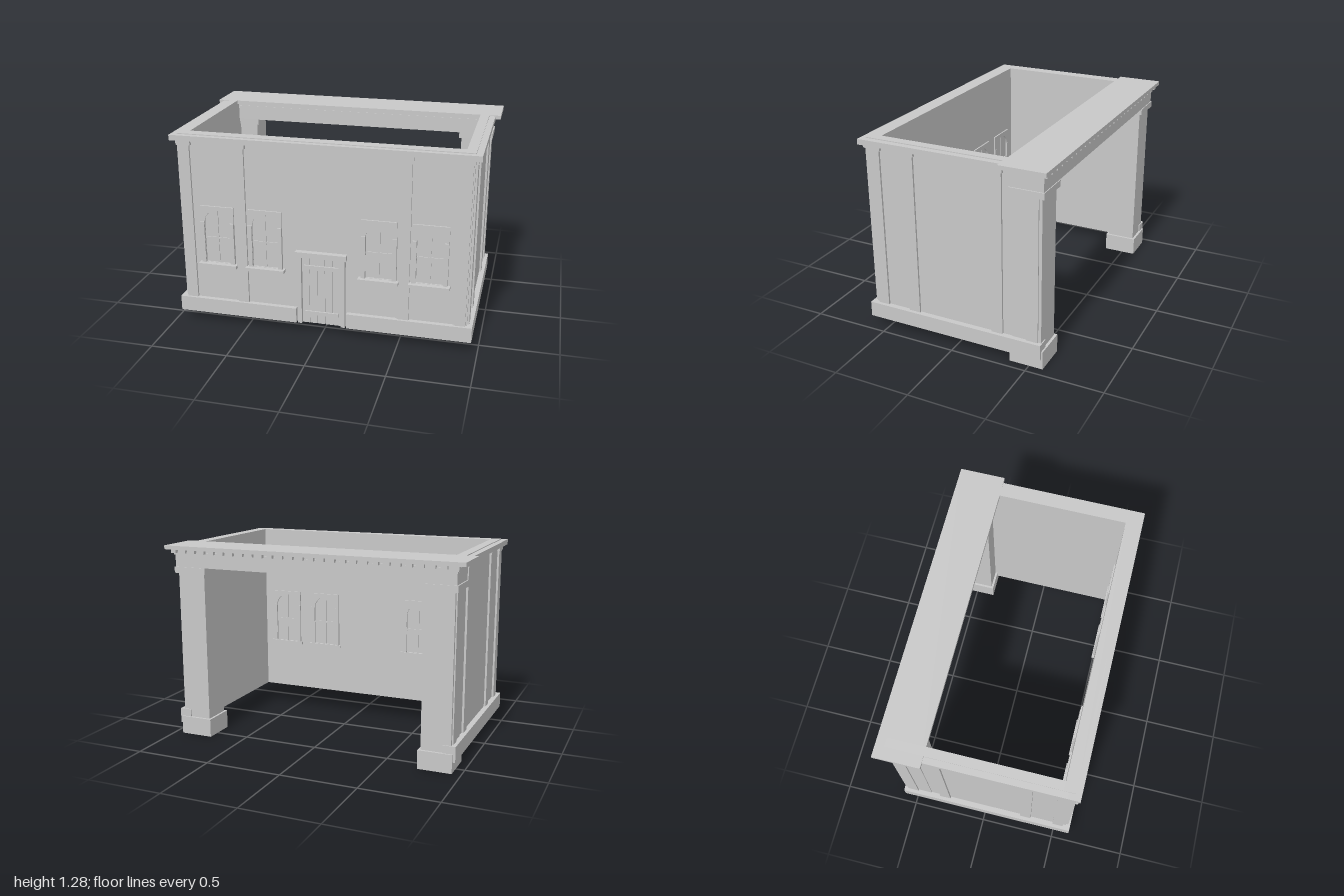
import * as THREE from 'three';

export function createModel() {
  const model = new THREE.Group();
  model.name = 'facadeBuilding';
  const stone = new THREE.MeshStandardMaterial({ color: 0xc8c8c8 });
  stone.name = 'pale grey stone';

  const add = (parent, name, geometry) => {
    const mesh = new THREE.Mesh(geometry, stone);
    mesh.name = name;
    parent.add(mesh);
    return mesh;
  };
  // Box given by its limits on each axis
  const block = (parent, name, [x0, x1], [y0, y1], [z0, z1]) => {
    const mesh = add(parent, name, new THREE.BoxGeometry(x1 - x0, y1 - y0, z1 - z0));
    mesh.position.set((x0 + x1) / 2, (y0 + y1) / 2, (z0 + z1) / 2);
    return mesh;
  };
  const group = (name, parent = model) => {
    const g = new THREE.Group();
    g.name = name;
    parent.add(g);
    return g;
  };
  // Limits mirrored to the chosen side
  const side = (s, a, b) => (s > 0 ? [a, b] : [-b, -a]);

  // Front wall and its cornice
  block(model, 'frontWall', [-0.925, 0.925], [0.07, 1.28], [0.507, 0.58]);
  block(model, 'frontCornice', [-0.965, 0.965], [1.24, 1.275], [0.54, 0.615]);

  for (const s of [1, -1]) {
    const half = group(s > 0 ? 'leftSide' : 'rightSide');

    // Side wall, cornice and plinth
    block(half, 'sideWall', side(s, 0.865, 0.925), [0.07, 1.28], [-0.57, 0.507]);
    block(half, 'sideCornice', side(s, 0.9, 0.965), [1.24, 1.275], [-0.34, 0.54]);
    block(half, 'sidePlinth', side(s, 0.88, 0.96), [0.07, 0.17], [-0.58, 0.54]);
    block(half, 'frontPlinth', side(s, 0.165, 0.96), [0.07, 0.17], [0.54, 0.61]);

    // Front pilasters with caps
    for (const x of [0.88, 0.525]) {
      block(half, 'frontPilaster', side(s, x - 0.036, x + 0.036), [0.17, 1.21], [0.57, 0.595]);
      block(half, 'frontPilasterCap', side(s, x - 0.046, x + 0.046), [1.21, 1.24], [0.57, 0.602]);
    }

    // Side pilasters with caps
    for (const z of [0.523, 0.293, -0.285, -0.517]) {
      block(half, 'sidePilaster', side(s, 0.9, 0.938), [0.17, 1.21], [z - 0.037, z + 0.037]);
      block(half, 'sidePilasterCap', side(s, 0.9, 0.944), [1.21, 1.238], [z - 0.046, z + 0.046]);
    }

    // Rear pier: foot, shaft and capital
    block(half, 'pierFoot', side(s, 0.725, 0.943), [0, 0.12], [-0.59, -0.37]);
    block(half, 'pierShaft', side(s, 0.74, 0.93), [0.12, 1.1], [-0.573, -0.385]);
    block(half, 'pierCapital', side(s, 0.725, 0.95), [1.1, 1.14], [-0.592, -0.37]);

    // Two arched windows, outside and inside
    for (const x of [0.685, 0.367]) {
      for (const [z, face] of [[0.58, 1], [0.507, -1]]) {
        const w = buildWindow(face > 0);
        w.position.set(s * x, 0, z);
        if (face < 0) w.rotation.y = Math.PI;
        half.add(w);
      }
    }
  }

  // Window: plate with arched hole, jambs, sill and glazing bars
  function buildWindow(outside) {
    const w = new THREE.Group();
    w.name = outside ? 'outerWindow' : 'innerWindow';
    const plate = new THREE.Shape();
    plate.moveTo(-0.112, 0.43).lineTo(0.112, 0.43).lineTo(0.112, 0.815).lineTo(-0.112, 0.815);
    const hole = new THREE.Path();
    hole.moveTo(-0.084, 0.432).lineTo(-0.084, 0.705);
    hole.absarc(0, 0.705, 0.084, Math.PI, 0, true);
    hole.lineTo(0.084, 0.432);
    plate.holes.push(hole);
    add(w, 'windowFrame', new THREE.ExtrudeGeometry(plate,
      { depth: 0.01, bevelEnabled: false, curveSegments: 16 }));
    for (const s of [1, -1]) {
      block(w, 'windowJamb', side(s, 0.085, 0.112), [0.43, 0.71], [0, outside ? 0.02 : 0.012]);
    }
    block(w, 'windowSill', [-0.128, 0.128], [0.41, 0.43], [0, outside ? 0.045 : 0.018]);
    block(w, 'verticalBar', [-0.006, 0.006], [0.43, 0.787], [0, 0.006]);
    block(w, 'crossBar', [-0.084, 0.084], [0.594, 0.606], [0, 0.006]);
    return w;
  }

  // Plank door with frame and battens
  const door = group('door');
  for (let i = 0; i < 5; i++) {
    const x = -0.126 + i * 0.0508;
    block(door, 'doorPlank', [x, x + 0.046], [0.07, 0.535], [0.575, 0.587]);
  }
  for (const y of [0.13, 0.45]) {
    block(door, 'doorBatten', [-0.112, 0.112], [y, y + 0.026], [0.575, 0.596]);
  }
  for (const s of [1, -1]) {
    block(door, 'doorJamb', side(s, 0.128, 0.156), [0.07, 0.535], [0.575, 0.607]);
  }
  block(door, 'doorLintel', [-0.165, 0.165], [0.535, 0.57], [0.575, 0.617]);

  // Rear beam, stepped mouldings and roof slab
  const rear = group('rearEntablature');
  block(rear, 'rearBeam', [-0.942, 0.942], [1.14, 1.22], [-0.587, -0.363]);
  block(rear, 'rearMoulding', [-0.95, 0.95], [1.22, 1.24], [-0.592, -0.357]);
  block(rear, 'rearFrieze', [-0.944, 0.944], [1.24, 1.255], [-0.588, -0.36]);
  block(rear, 'rearSlab', [-1, 1], [1.255, 1.28], [-0.625, -0.33]);

  // Row of dentils under the slab
  const count = 28;
  for (let i = 0; i < count; i++) {
    const x = -0.94 + (i * 1.88) / (count - 1);
    block(rear, 'dentil', [x - 0.018, x + 0.018], [1.232, 1.255], [-0.613, -0.58]);
  }

  return model;
}
